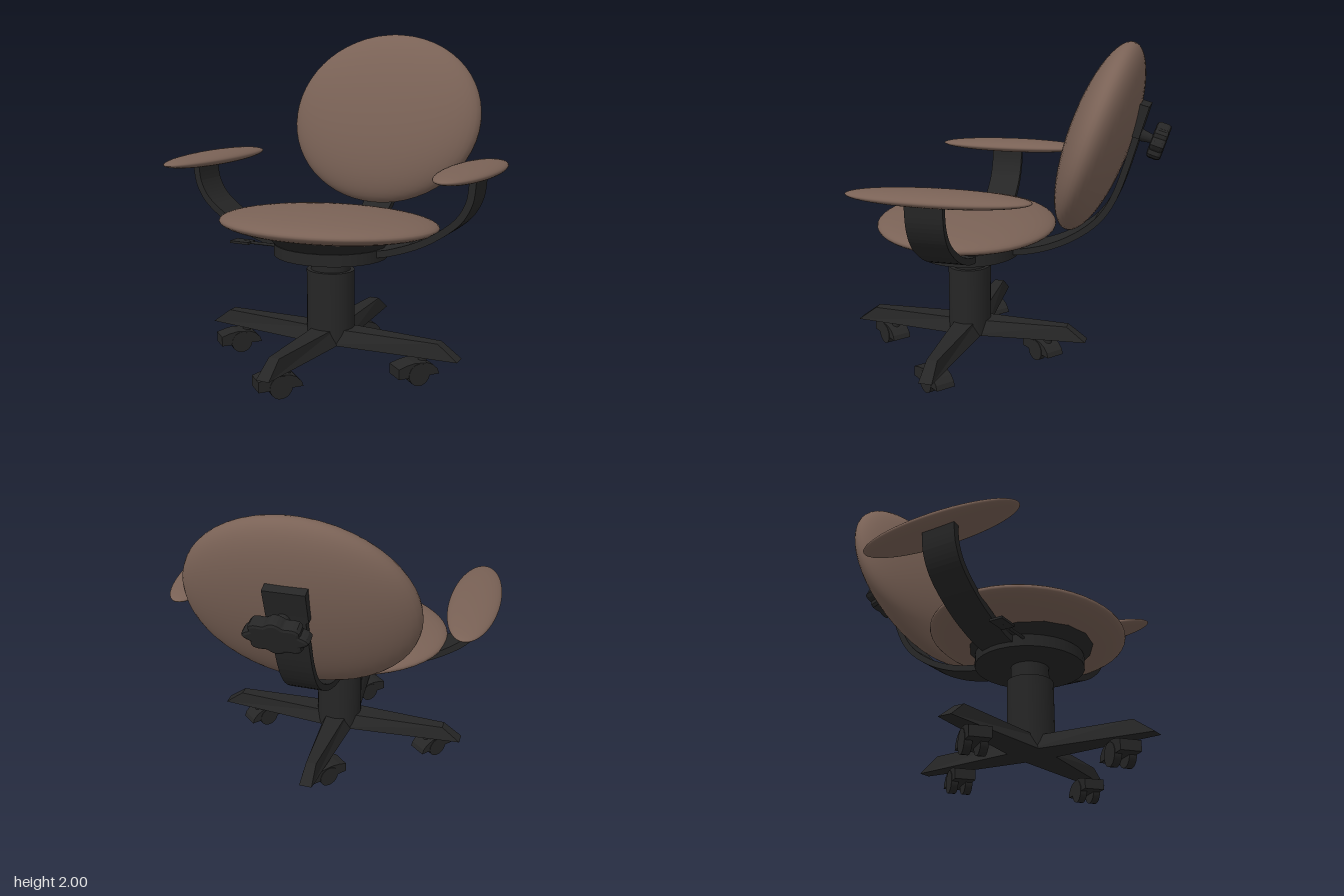
import * as THREE from 'three';

const dark = new THREE.MeshStandardMaterial({ color: 0x262626 });
const darkFlat = new THREE.MeshStandardMaterial({ color: 0x262626, flatShading: true });
const fabric = new THREE.MeshStandardMaterial({ color: 0x7a6256 });

function add(parent, name, geometry, material, x = 0, y = 0, z = 0) {
  const mesh = new THREE.Mesh(geometry, material);
  mesh.name = name;
  mesh.position.set(x, y, z);
  parent.add(mesh);
  return mesh;
}

// Cushion: a flattened ellipsoid with its pole on the thin axis
function cushion(parent, name, rx, ry, rz, x, y, z) {
  const geo = new THREE.SphereGeometry(1, 48, 28).scale(rx, ry, rz);
  return add(parent, name, geo, fabric, x, y, z);
}

// Flat bar of constant thickness bent along a curve in the xy plane
function strap(points, thickness, width) {
  const curve = new THREE.SplineCurve(points.map(([x, y]) => new THREE.Vector2(x, y)));
  const near = [], far = [];
  for (let i = 0; i <= 28; i++) {
    const p = curve.getPoint(i / 28), t = curve.getTangent(i / 28);
    const n = new THREE.Vector2(-t.y, t.x).multiplyScalar(thickness / 2);
    near.push(p.clone().add(n));
    far.unshift(p.clone().sub(n));
  }
  const geo = new THREE.ExtrudeGeometry(new THREE.Shape([...near, ...far]), { depth: width, bevelEnabled: false });
  return geo.translate(0, 0, -width / 2);
}

// Tapered foot along +z with a sloping tip
function footGeometry(length) {
  const geo = new THREE.BoxGeometry(2, 1, 1).translate(0, 0.5, 0.5);
  const p = geo.attributes.position;
  for (let i = 0; i < p.count; i++) {
    const top = p.getY(i) > 0.5, tip = p.getZ(i) > 0.5;
    const half = tip ? (top ? 0.032 : 0.04) : (top ? 0.07 : 0.11);
    p.setXYZ(i, p.getX(i) * half, top ? 0.25 : 0.16, tip ? length - (top ? 0.12 : 0) : 0);
  }
  geo.computeVertexNormals();
  return geo;
}

// Twin-wheel caster under a domed hood, swivelled about its stem
function caster() {
  const g = new THREE.Group();
  g.name = 'caster';
  add(g, 'casterStem', new THREE.CylinderGeometry(0.025, 0.025, 0.06, 12), dark, 0, 0.145, 0);
  const hood = new THREE.Shape([
    [0.18, 0.055], [0.18, 0.115], [0.13, 0.13], [0.08, 0.138], [0, 0.132], [-0.04, 0.115], [-0.07, 0.085], [-0.08, 0.055],
  ].map(([x, y]) => new THREE.Vector2(x, y)));
  add(g, 'casterHood', new THREE.ExtrudeGeometry(hood, { depth: 0.12, bevelEnabled: false }), darkFlat, 0, 0, -0.06);
  for (const s of [-1, 1]) {
    const wheel = new THREE.CylinderGeometry(0.066, 0.066, 0.042, 20).rotateX(Math.PI / 2);
    add(g, 'casterWheel', wheel, dark, 0.05, 0.066, s * 0.042);
  }
  return g;
}

// Star base with four feet and casters
function buildBase() {
  const base = new THREE.Group();
  base.name = 'base';
  base.rotation.y = -0.02;
  for (let i = 0; i < 4; i++) {
    const sideways = i % 2 === 1, a = i * Math.PI / 2;
    const foot = add(base, 'foot', footGeometry(sideways ? 0.83 : 0.76), darkFlat);
    foot.rotation.y = a;
    const wheel = caster(), r = sideways ? 0.605 : 0.515;
    wheel.position.set(Math.sin(a) * r, 0, Math.cos(a) * r);
    wheel.rotation.y = -2.26;
    base.add(wheel);
  }
  return base;
}

// Lobed hand knob with its stem, along +z
function buildKnob() {
  const knob = new THREE.Group();
  knob.name = 'backKnob';
  const pts = [];
  for (let i = 0; i < 64; i++) {
    const a = i / 64 * Math.PI * 2, r = 0.9 + 0.1 * Math.cos(8 * a);
    pts.push(new THREE.Vector2(Math.cos(a) * r * 0.16, Math.sin(a) * r * 0.092));
  }
  const geo = new THREE.ExtrudeGeometry(new THREE.Shape(pts), {
    depth: 0.045, bevelThickness: 0.02, bevelSize: 0.018, bevelSegments: 2,
  });
  add(knob, 'knobGrip', geo, dark, 0, 0, 0.1);
  add(knob, 'knobStem', new THREE.CylinderGeometry(0.022, 0.045, 0.13, 14).rotateX(Math.PI / 2), dark, 0, 0, 0.035);
  return knob;
}

export function createModel() {
  const model = new THREE.Group();
  model.name = 'officeChair';
  const chair = new THREE.Group();
  chair.name = 'chair';
  chair.position.z = 0.25;
  chair.rotation.y = -0.035;
  model.add(chair);
  chair.add(buildBase());

  // Column and seat mount, slightly wider than deep
  const round = (name, rTop, rBottom, y0, y1, sides) => add(chair, name,
    new THREE.CylinderGeometry(rTop, rBottom, y1 - y0, sides).scale(1, 1, 0.91), dark, 0.005, (y0 + y1) / 2, -0.005);
  round('columnSleeve', 0.147, 0.147, 0.16, 0.6, 28);
  round('columnPiston', 0.121, 0.121, 0.58, 0.7, 28);
  round('seatPlate', 0.348, 0.348, 0.69, 0.76, 32);
  round('seatFlare', 0.41, 0.345, 0.76, 0.83, 16);

  // Seat
  cushion(chair, 'seat', 0.68, 0.088, 0.545, -0.01, 0.882, 0.005).rotation.x = -0.037;

  // Arms and arm pads
  for (const s of [-1, 1]) {
    const path = [[0.3, 0.735], [0.42, 0.755], [0.62, 0.83], [0.8, 0.95], [0.88, 1.07], [0.9, 1.2]];
    add(chair, 'armSupport', strap(path.map(([x, y]) => [s * x, y]), 0.04, 0.21), dark, 0, 0, -0.03);
    cushion(chair, 'armPad', 0.15, 0.042, 0.51, s * 0.85, 1.227 + s * 0.005, -0.08);
  }

  // Back support bar with clamp block and knob
  const barPath = [[0.24, 0.73], [0.36, 0.735], [0.52, 0.775], [0.68, 0.85], [0.82, 0.96], [0.91, 1.1], [0.98, 1.3], [1.075, 1.64]];
  add(chair, 'backBar', strap(barPath, 0.038, 0.2), dark).rotation.y = Math.PI / 2;
  const clamp = add(chair, 'backClamp', new THREE.BoxGeometry(0.23, 0.19, 0.055), dark, 0, 1.56, -1.045);
  clamp.rotation.x = -0.28;
  const knob = buildKnob();
  knob.position.set(0.02, 1.475, -1.035);
  knob.lookAt(0.02, 1.475 - 0.3, -1.035 - 0.95);
  chair.add(knob);

  // Backrest
  cushion(chair, 'backrest', 0.665, 0.574, 0.18, 0.005, 1.45, -0.815).rotation.x = -0.305;

  // Height lever
  add(chair, 'leverRod', new THREE.CylinderGeometry(0.009, 0.009, 0.3, 10).rotateZ(Math.PI / 2), dark, -0.37, 0.74, 0.13);
  add(chair, 'leverPaddle', new THREE.BoxGeometry(0.13, 0.014, 0.08), dark, -0.53, 0.74, 0.13);
  return model;
}
